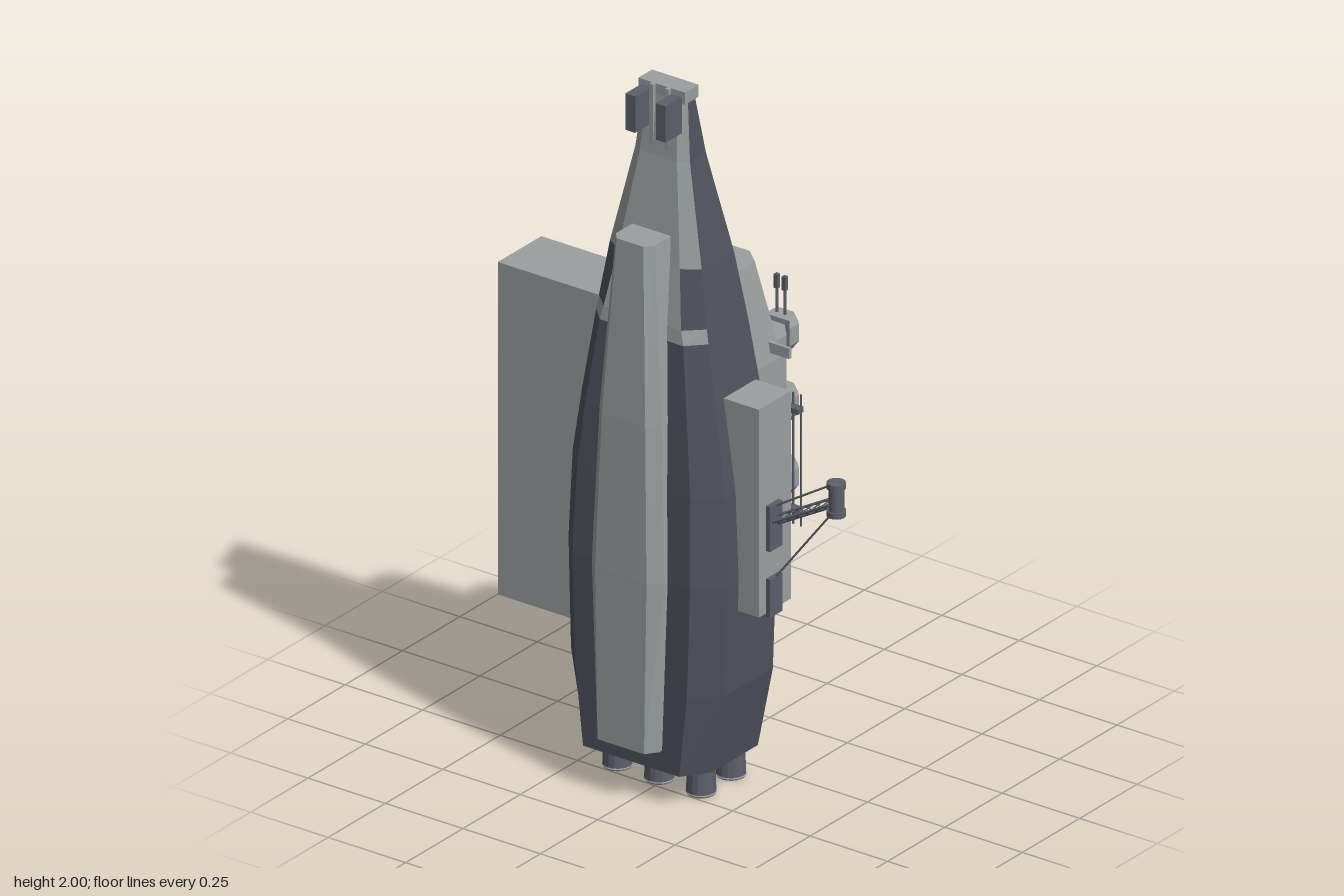
import * as THREE from 'three';

const mat = (name, color) => {
  const m = new THREE.MeshStandardMaterial({ color, flatShading: true });
  m.name = name;
  return m;
};
const CX = -0.016; // centre line of the ship

// Loft through rings [y, [[x, z], ...]]; each ring starts front right and runs towards +x, then back.
function loft(rings, pick = () => 0) {
  const pos = [], geo = new THREE.BufferGeometry();
  const add = (y, p) => pos.push(p[0] + CX, y, p[1]);
  const n = rings[0][1].length;
  for (let i = 0; i < rings.length - 1; i++) {
    const [y0, a] = rings[i], [y1, b] = rings[i + 1];
    for (let j = 0; j < n; j++) {
      const k = (j + 1) % n;
      geo.addGroup(pos.length / 3, 6, pick(i, j));
      add(y0, a[j]); add(y0, a[k]); add(y1, b[k]);
      add(y0, a[j]); add(y1, b[k]); add(y1, b[j]);
    }
  }
  geo.addGroup(pos.length / 3, (n - 2) * 6, 0);
  const [yb, bot] = rings[0], [yt, top] = rings[rings.length - 1];
  for (let j = 1; j < n - 1; j++) {
    add(yb, bot[0]); add(yb, bot[j + 1]); add(yb, bot[j]);
    add(yt, top[0]); add(yt, top[j]); add(yt, top[j + 1]);
  }
  geo.setAttribute('position', new THREE.Float32BufferAttribute(pos, 3));
  geo.computeVertexNormals();
  return geo;
}

export function createModel() {
  const ship = new THREE.Group();
  ship.name = 'ship';
  const dark = mat('hullSlate', 0x4f525d);
  const light = mat('lightGrey', 0x9a9f9f);
  const trim = mat('trimGrey', 0x5d606a);
  const gold = mat('gold', 0xc8a246);

  const mesh = (name, geo, m) => {
    const o = new THREE.Mesh(geo, m);
    o.name = name;
    ship.add(o);
    return o;
  };
  // Box given by its limits
  const box = (name, m, x0, x1, y0, y1, z0, z1) => {
    const o = mesh(name, new THREE.BoxGeometry(x1 - x0, y1 - y0, z1 - z0), m);
    o.position.set((x0 + x1) / 2, (y0 + y1) / 2, (z0 + z1) / 2);
    return o;
  };
  const cyl = (name, m, r0, r1, h, x, y, z, sides = 12) => {
    const o = mesh(name, new THREE.CylinderGeometry(r0, r1, h, sides), m);
    o.position.set(x, y, z);
    return o;
  };
  const rod = (name, m, a, b, r) => {
    const p = new THREE.Vector3(...a), q = new THREE.Vector3(...b), d = q.clone().sub(p);
    const o = mesh(name, new THREE.CylinderGeometry(r, r, d.length(), 5), m);
    o.position.copy(p.add(q).multiplyScalar(0.5));
    o.quaternion.setFromUnitVectors(new THREE.Vector3(0, 1, 0), d.normalize());
  };

  // Main hull: y, half width, front half width, front z, front chamfer z, rear chamfer z, back z, back half width
  const hull = [
    [0.10, 0.207, 0.155, 0.333, 0.26, 0.06, 0.03, 0.13],
    [0.33, 0.248, 0.18, 0.333, 0.26, 0.05, -0.015, 0.15],
    [0.65, 0.256, 0.19, 0.333, 0.26, 0.045, -0.03, 0.16],
    [0.90, 0.246, 0.182, 0.322, 0.255, 0.045, -0.025, 0.15],
    [1.08, 0.220, 0.165, 0.31, 0.25, 0.05, -0.015, 0.13],
    [1.32, 0.181, 0.135, 0.288, 0.24, 0.065, 0.01, 0.105],
    [1.36, 0.174, 0.125, 0.284, 0.238, 0.068, 0.015, 0.10],
    [1.52, 0.148, 0.10, 0.256, 0.225, 0.085, 0.04, 0.085],
    [1.80, 0.088, 0.06, 0.214, 0.195, 0.125, 0.095, 0.055],
    [1.97, 0.070, 0.05, 0.20, 0.18, 0.15, 0.135, 0.05],
  ].map(([y, w, f, zf, zc, zr, zb, b]) =>
    [y, [[-f, zf], [f, zf], [w, zc], [w, zr], [b, zb], [-b, zb], [-w, zr], [-w, zc]]]);
  // Pale nose on the front faces, broken by a dark patch on each chamfer
  const pale = (i, j) => (i >= 5 && (j === 0 || ((j === 1 || j === 7) && i !== 6)) ? 1 : 0);
  mesh('hull', loft(hull, pale), [dark, light]);

  // Nose cap, rails and sensor boxes
  box('noseCap', light, CX - 0.075, CX + 0.075, 1.965, 2, 0.14, 0.2);
  for (const s of [-1, 1]) {
    box('noseRail', light, CX + s * 0.025 - 0.006, CX + s * 0.025 + 0.006, 1.8, 2, 0.195, 0.212);
    box('sensorBox', trim, CX + s * 0.049 - 0.016, CX + s * 0.049 + 0.016, 1.88, 1.985, 0.2, 0.27);
  }

  // Front keel: y, half width, front half width, front z, chamfer z, inner z
  mesh('frontKeel', loft([
    [0.16, 0.10, 0.075, 0.378, 0.345, 0.25],
    [0.65, 0.118, 0.083, 0.378, 0.345, 0.25],
    [1.10, 0.10, 0.07, 0.366, 0.335, 0.24],
    [1.60, 0.062, 0.043, 0.338, 0.315, 0.2],
  ].map(([y, w, f, zf, zc, zi]) => [y, [[-f, zf], [f, zf], [w, zc], [w, zi], [-w, zi], [-w, zc]]])), light);

  // Rear superstructure: y, half width, back half width, chamfer z, back z
  mesh('rearSuperstructure', loft([
    [0.20, 0.13, 0.09, 0.01, -0.005],
    [0.42, 0.17, 0.11, -0.07, -0.15],
    [0.83, 0.19, 0.115, -0.10, -0.18],
    [1.16, 0.18, 0.105, -0.08, -0.145],
    [1.44, 0.13, 0.085, -0.03, -0.07],
  ].map(([y, w, b, zc, zb]) => [y, [[-w, 0.05], [w, 0.05], [w, zc], [b, zb], [-b, zb], [-w, zc]]])), light);

  // Stepped deck along the back
  mesh('rearDeck', loft([0.44, 1.16].map((y) =>
    [y, [[-0.115, -0.12], [0.115, -0.12], [0.115, -0.19], [0.075, -0.235], [-0.075, -0.235], [-0.115, -0.19]]])), light);
  box('lowerDeck', light, -0.13, 0.03, 0.32, 0.72, -0.25, -0.16);
  box('towerBase', light, -0.145, -0.035, 0.34, 0.61, -0.295, -0.24);
  box('towerBlock', trim, -0.135, -0.05, 0.35, 0.6, -0.325, -0.29);
  box('towerPlate', light, -0.122, -0.06, 0.44, 0.61, -0.345, -0.32);
  box('towerBar', trim, -0.135, -0.045, 0.53, 0.56, -0.352, -0.345);
  box('towerHead', light, -0.105, -0.075, 0.5, 0.58, -0.365, -0.35);
  box('towerTip', light, -0.095, -0.085, 0.53, 0.55, -0.38, -0.365);

  // Central column of pods on brackets
  for (const y of [1.1, 0.895, 0.685]) {
    box('podBracket', trim, -0.045, 0.045, y - 0.045, y + 0.05, -0.275, -0.2);
    mesh('pod', loft([
      [y - 0.05, 0.6], [y - 0.025, 1], [y + 0.025, 1], [y + 0.05, 0.75],
    ].map(([h, s]) => {
      const w = 0.044 * s, c = 0.028 * s, d = 0.034 * s, e = 0.018 * s, z = -0.3;
      return [h, [[-c, z + d], [c, z + d], [w, z + e], [w, z - e], [c, z - d], [-c, z - d], [-w, z - e], [-w, z + e]]];
    })), light).position.x = 0.016;
    box('podLens', gold, -0.012, 0.012, y - 0.012, y + 0.012, -0.338, -0.333);
  }
  for (const x of [-0.014, 0.012]) {
    rod('mast', trim, [x, 0.95, -0.3], [x, 1.26, -0.3], 0.004);
    box('mastTip', trim, x - 0.006, x + 0.006, 1.22, 1.26, -0.306, -0.294);
  }

  // Side column of small drums
  for (const y of [1.0, 0.84, 0.68, 0.53]) {
    box('drumMount', light, -0.193, -0.11, y - 0.03, y + 0.03, -0.225, -0.15);
    cyl('drum', light, 0.028, 0.028, 0.09, -0.165, y, -0.23);
    cyl('drumBand', trim, 0.033, 0.033, 0.02, -0.165, y, -0.23);
  }
  for (const x of [0.12, 0.145]) rod('whip', trim, [x, 0.62, -0.19], [x, 1.0, -0.19], 0.003);
  for (const y of [0.66, 0.95]) box('whipMount', trim, 0.09, 0.15, y, y + 0.015, -0.195, -0.17);

  // Gold side strips and small fins
  for (const s of [-1, 1]) {
    const at = (a, b) => [Math.min(CX + s * a, CX + s * b), Math.max(CX + s * a, CX + s * b)];
    box('goldStrip', gold, ...at(0.2, 0.256), 0.6, 1.04, 0.015, 0.038);
    for (const y of [0.78, 1.2]) box('sideFin', light, ...at(0.12, 0.237), y - 0.015, y + 0.015, -0.046, -0.036);
  }

  // Large panel on one side
  box('sidePanel', light, -0.515, -0.15, 0.4, 1.36, 0.05, 0.24);
  box('sidePanelCover', light, -0.5, -0.15, 0.48, 1.28, 0.036, 0.05);

  // Equipment box on the other side, with the boom
  box('equipmentBox', light, 0.15, 0.305, 0.56, 1.16, 0.07, 0.21);
  box('equipmentCover', light, 0.18, 0.29, 0.62, 1.1, 0.055, 0.07);
  box('upperBracket', trim, 0.305, 0.318, 0.74, 0.87, 0.125, 0.178);
  box('lowerBracket', trim, 0.305, 0.318, 0.55, 0.66, 0.125, 0.178);
  const head = [0.487, 0.92, 0.118];
  const chord = (t, k) => {
    const a = k * Math.PI * 2 / 3;
    return [0.315 + t * 0.16, 0.82 + t * 0.085 + Math.sin(a) * 0.014, 0.15 - t * 0.03 + Math.cos(a) * 0.016];
  };
  for (let k = 0; k < 3; k++) {
    rod('boomChord', trim, chord(0, k), chord(1, k), 0.004);
    for (let i = 0; i < 6; i++) rod('boomBrace', trim, chord(i / 6, k), chord((i + 1) / 6, k + 1), 0.002);
  }
  rod('boomStay', trim, [0.31, 0.86, 0.15], [0.47, 0.955, 0.12], 0.003);
  rod('boomStay', trim, [0.31, 0.65, 0.15], [0.475, 0.875, 0.12], 0.003);
  cyl('boomHead', trim, 0.021, 0.021, 0.09, ...head, 16);
  for (const s of [-1, 1]) cyl('boomHeadRim', trim, 0.026, 0.026, 0.016, head[0], head[1] + s * 0.04, head[2], 16);

  // Engines under the hull
  for (const x of [-0.135, 0, 0.135]) for (const z of [0.08, 0.21]) {
    cyl('engine', trim, 0.036, 0.04, 0.1, CX + x, 0.06, z, 16);
    const rim = mesh('engineRim', new THREE.TorusGeometry(0.035, 0.006, 6, 16), light);
    rim.rotation.x = Math.PI / 2;
    rim.position.set(CX + x, 0.007, z);
  }
  return ship;
}
